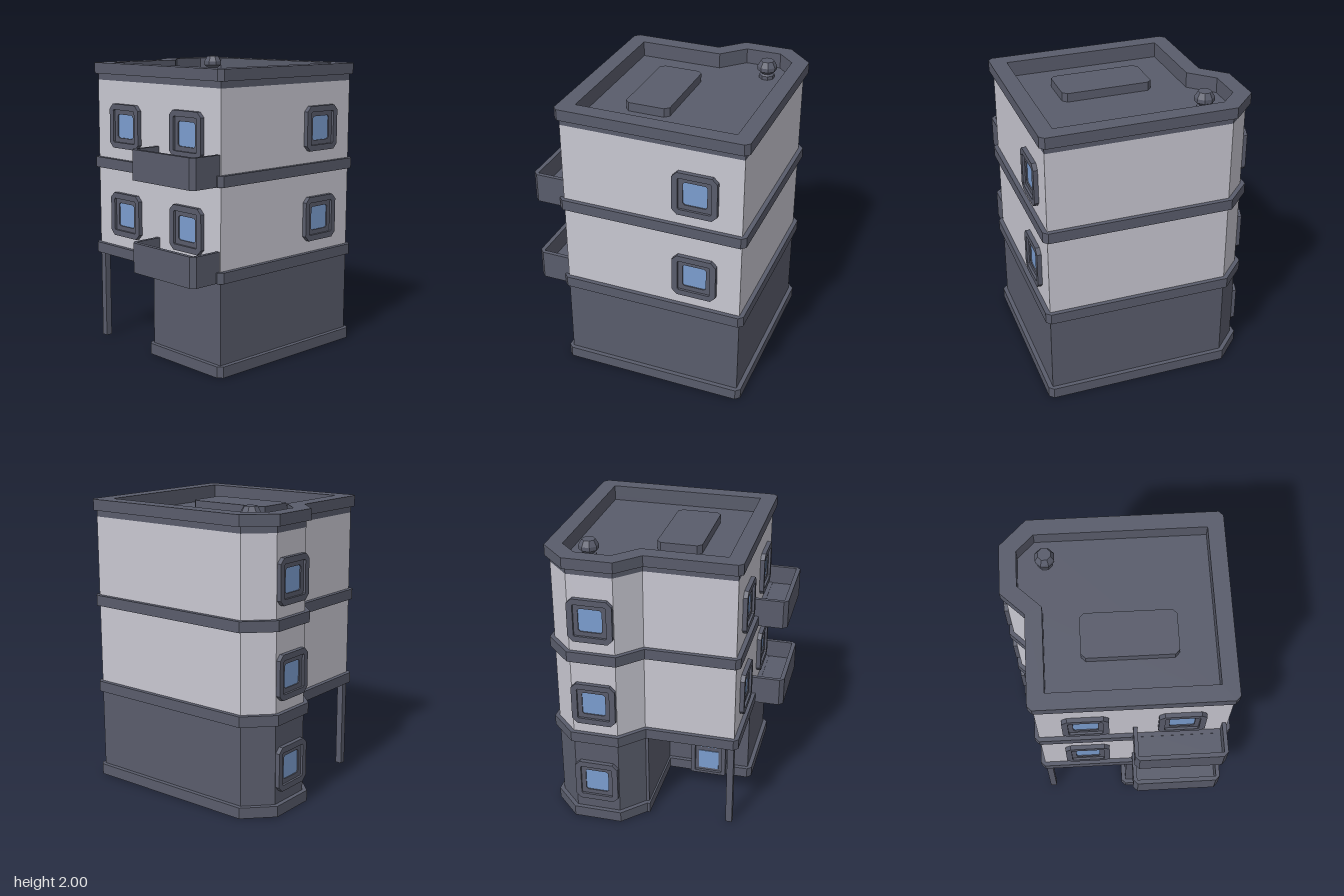
import * as THREE from 'three';

const slate = new THREE.MeshStandardMaterial({ color: 0x595c6b });
slate.name = 'slate';
const plaster = new THREE.MeshStandardMaterial({ color: 0xc8c7d1 });
plaster.name = 'plaster';
const glass = new THREE.MeshStandardMaterial({ color: 0x7b9dcf });
glass.name = 'glass';

function mesh(name, geometry, material, parent) {
  const m = new THREE.Mesh(geometry, material);
  m.name = name;
  parent.add(m);
  return m;
}

const toShape = (pts) => new THREE.Shape(pts.map(([x, y]) => new THREE.Vector2(x, y)));

// Upright prism over a plan given as [x, z] points
function prism(plan, y0, y1, hole) {
  const flip = (pts) => pts.map(([x, z]) => [x, -z]);
  const shape = toShape(flip(plan));
  if (hole) shape.holes.push(toShape(flip(hole)));
  const g = new THREE.ExtrudeGeometry(shape, { depth: y1 - y0, bevelEnabled: false });
  return g.rotateX(-Math.PI / 2).translate(0, y0, 0);
}

// Rectangle with cut corners
function cutRect(x0, y0, x1, y1, c) {
  return [[x0 + c, y0], [x1 - c, y0], [x1, y0 + c], [x1, y1 - c],
    [x1 - c, y1], [x0 + c, y1], [x0, y1 - c], [x0, y0 + c]];
}

// Building plan grown outwards by o, outer corners cut by c;
// the ground floor leaves out the back corner for a covered entrance
function footprint(o, c = 0, ground = false) {
  const k = 0.414 * o;
  const l = -0.52 - o, r = 0.72 + o, f = 0.70 + o;
  const b = ground ? 0.04 - o : -0.545 - o;
  const corner = (a, p, d) => (c > 0 ? [a, d] : [p]);
  const pts = [
    ...corner([l, f - c], [l, f], [l + c, f]),
    ...corner([r - c, f], [r, f], [r, f - c]),
    [r, -0.54 - k], [0.56 + k, -0.70 - o], [0.25 - k, -0.70 - o], [0.10 - k, -0.545 - o],
  ];
  if (ground) pts.push([0.08 - k, -0.545 - o], [0.08 - k, b]);
  pts.push(...corner([l + c, b], [l, b], [l, b + c]));
  return pts;
}

// Flat ring facing +z
function ring(outer, inner, depth) {
  const shape = toShape(outer);
  shape.holes.push(toShape(inner));
  return new THREE.ExtrudeGeometry(shape, { depth, bevelEnabled: false });
}

// Stepped square window facing +z
function makeWindow(name) {
  const g = new THREE.Group();
  g.name = name;
  const sq = (h, c) => cutRect(-h, -h, h, h, c);
  mesh('outerFrame', ring(sq(0.152, 0.035), sq(0.112, 0.006), 0.03), slate, g);
  mesh('innerFrame', ring(sq(0.114, 0.002), sq(0.081, 0.012), 0.014), slate, g);
  mesh('pane', new THREE.BoxGeometry(0.166, 0.166, 0.006), glass, g).position.z = 0.003;
  return g;
}

// Entrance door with two panes, facing +z
function makeDoor() {
  const g = new THREE.Group();
  g.name = 'entranceDoor';
  mesh('doorFrame', ring(cutRect(-0.13, 0, 0.13, 0.54, 0.01), cutRect(-0.1, 0.02, 0.1, 0.51, 0.005), 0.06), slate, g);
  mesh('doorLeaf', new THREE.BoxGeometry(0.21, 0.52, 0.04), slate, g).position.set(0, 0.265, 0.02);
  for (const [y, h] of [[0.115, 0.15], [0.35, 0.25]])
    mesh('doorPane', new THREE.BoxGeometry(0.15, h, 0.006), glass, g).position.set(0, y, 0.042);
  return g;
}

// Balcony tray, open towards the wall
function makeBalcony(y) {
  const g = new THREE.Group();
  g.name = 'balcony';
  const outer = [[-0.5, 0.08], [-0.72, 0.08], [-0.75, 0.11], [-0.75, 0.66], [-0.72, 0.69], [-0.5, 0.69]];
  const inner = [[-0.5, 0.663], [-0.72, 0.663], [-0.72, 0.107], [-0.5, 0.107]];
  mesh('balconyFloor', prism(outer, y, y + 0.07), slate, g);
  mesh('balconyParapet', prism([...outer, ...inner], y + 0.07, y + 0.203), slate, g);
  return g;
}

export function createModel() {
  const model = new THREE.Group();
  model.name = 'apartmentBuilding';

  // Ground floor and plinth
  mesh('plinth', prism(footprint(0.03, 0.03, true), 0, 0.075), slate, model);
  mesh('groundFloorWalls', prism(footprint(0, 0, true), 0.07, 0.63), slate, model);
  mesh('cornerColumn', new THREE.BoxGeometry(0.045, 0.63, 0.045), slate, model)
    .position.set(-0.497, 0.315, -0.522);

  // Upper floors and the bands between them
  for (const y of [0.625, 1.245])
    mesh('floorBand', prism(footprint(0.03, 0.03), y, y + 0.073), slate, model);
  for (const [y0, y1] of [[0.69, 1.25], [1.31, 1.86]])
    mesh('upperFloorWalls', prism(footprint(0), y0, y1), plaster, model);

  // Roof with raised rim
  mesh('roofDeck', prism(footprint(0), 1.86, 1.875), slate, model);
  mesh('roofRimBase', prism(footprint(0), 1.87, 1.91, footprint(-0.08)), slate, model);
  mesh('roofRim', prism(footprint(0.03, 0.03), 1.905, 1.98, footprint(-0.08)), slate, model);
  mesh('roofHatch', prism(cutRect(-0.21, -0.235, 0.095, 0.385, 0.03), 1.87, 1.935), slate, model);

  // Roof vent
  const ventProfile = [[0.052, 1.87], [0.052, 1.9], [0.038, 1.91], [0.067, 1.935],
    [0.067, 1.962], [0.045, 2], [0, 2]].map(([r, y]) => new THREE.Vector2(r, y));
  const ventGeometry = new THREE.LatheGeometry(ventProfile, 8, Math.PI / 8).toNonIndexed();
  ventGeometry.computeVertexNormals();
  mesh('roofVent', ventGeometry, slate, model).position.set(0.487, 0, -0.44);

  // Windows on front, back bay and balcony side
  const addWindow = (name, x, y, z, turn) => {
    const w = makeWindow(name);
    w.position.set(x, y, z);
    w.rotation.y = turn;
    model.add(w);
  };
  for (const y of [0.932, 1.552]) {
    addWindow('frontWindow', 0.407, y, 0.70, 0);
    for (const z of [-0.23, 0.395]) addWindow('sideWindow', -0.52, y, z, -Math.PI / 2);
  }
  for (const y of [0.312, 0.932, 1.552]) addWindow('bayWindow', 0.405, y, -0.70, Math.PI);

  // Balconies
  for (const y of [0.625, 1.245]) model.add(makeBalcony(y));

  // Entrance in the covered corner
  const door = makeDoor();
  door.position.set(-0.23, 0.005, 0.04);
  door.rotation.y = Math.PI;
  model.add(door);

  return model;
}
